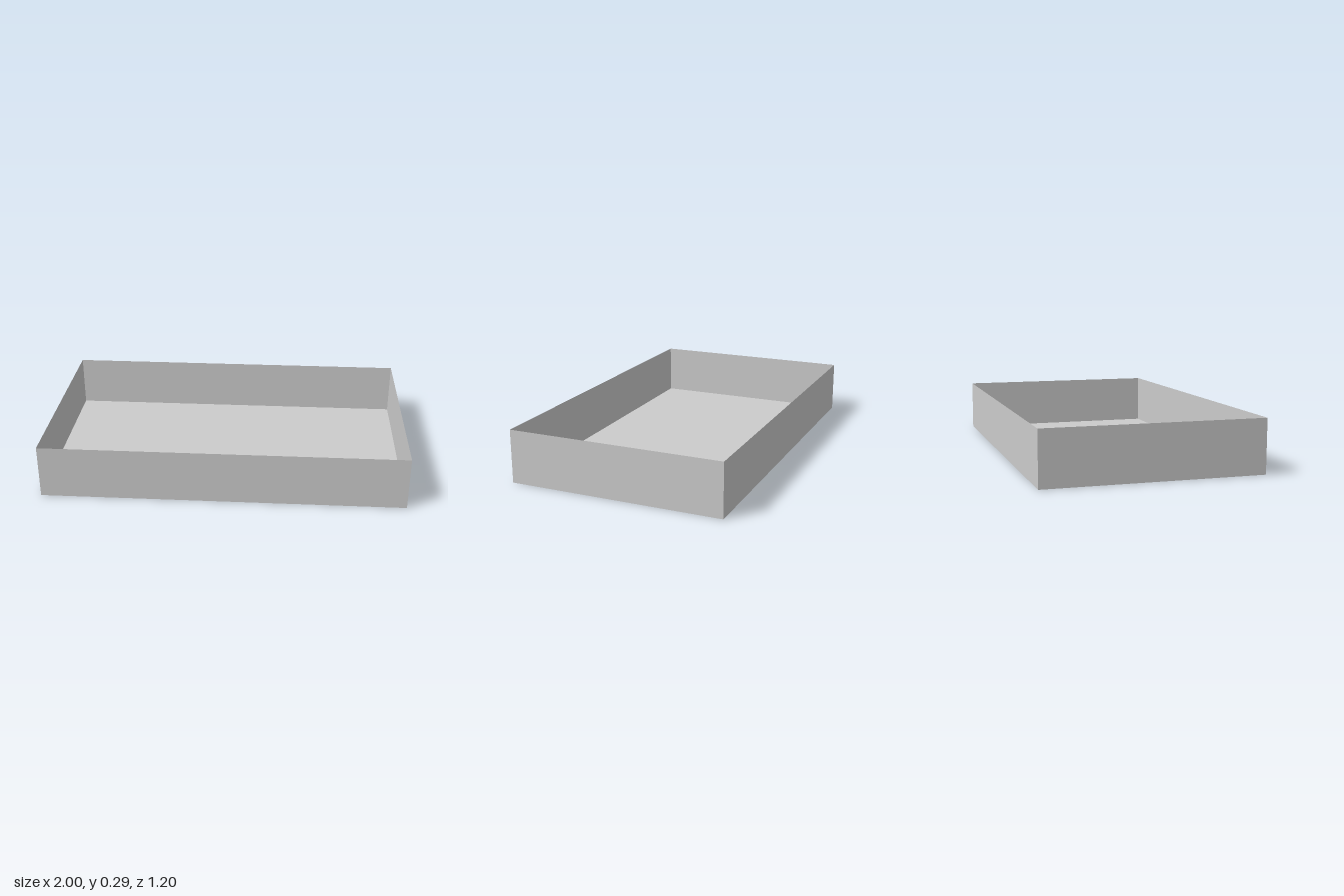
import * as THREE from 'three';

const W = 2, H = 0.295, D = 1.195;

export function createModel() {
  const group = new THREE.Group();
  group.name = 'openTray';
  const material = new THREE.MeshStandardMaterial({
    color: 0xcccccc, flatShading: true, side: THREE.DoubleSide,
  });

  const addPanel = (name, width, height, position, rotation) => {
    const panel = new THREE.Mesh(new THREE.PlaneGeometry(width, height), material);
    panel.name = name;
    panel.position.set(...position);
    panel.rotation.set(...rotation);
    group.add(panel);
  };

  // Floor, facing down on its outer side
  addPanel('floor', W, D, [0, 0, 0], [Math.PI / 2, 0, 0]);

  // Thin upright walls, facing outwards
  addPanel('frontWall', W, H, [0, H / 2, D / 2], [0, 0, 0]);
  addPanel('backWall', W, H, [0, H / 2, -D / 2], [0, Math.PI, 0]);
  for (const [name, side] of [['leftWall', 1], ['rightWall', -1]]) {
    addPanel(name, D, H, [side * W / 2, H / 2, 0], [0, side * Math.PI / 2, 0]);
  }

  return group;
}
